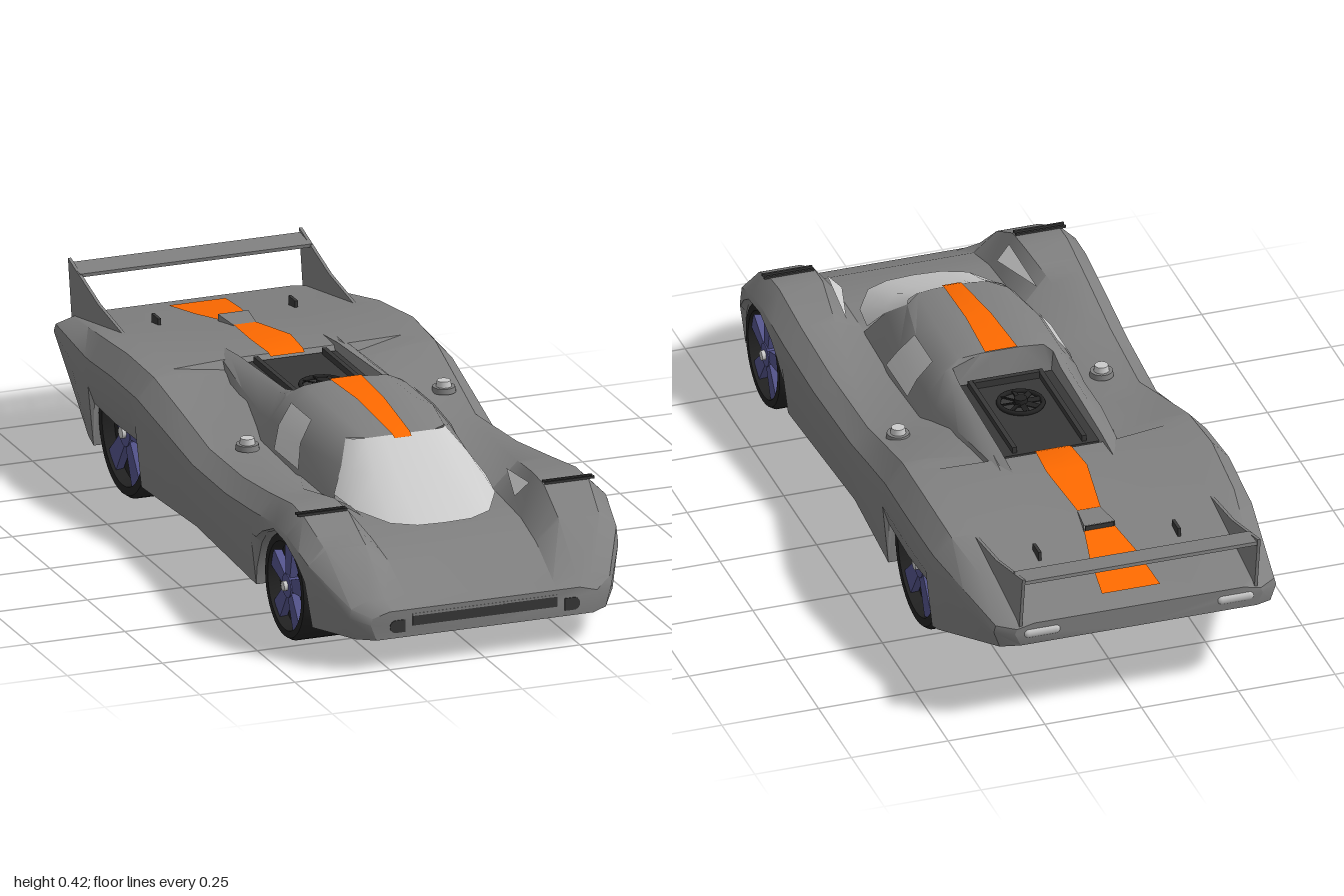
import * as THREE from 'three';
import { toCreasedNormals } from 'three/addons/utils/BufferGeometryUtils.js';

const mat = (color) => new THREE.MeshStandardMaterial({ color, side: THREE.DoubleSide });
const paint = mat(0x808080), glass = mat(0xcccccc), dark = mat(0x383838), rubber = mat(0x222222);
const orange = mat(0xff6a00), rimBlue = mat(0x54548c);

function skin(positions, index, crease = 0.6) {
  const g = new THREE.BufferGeometry();
  g.setAttribute('position', new THREE.Float32BufferAttribute(positions, 3));
  g.setIndex(index);
  return toCreasedNormals(g, crease);
}

// Skin over rows of half profiles; each runs from the +x side to the centre line and is mirrored.
function loft(rows, capped = false, crease = 0.6) {
  const rings = rows.map((r) => [...r, ...r.slice(0, -1).reverse().map(([x, y, z]) => [-x, y, z])]);
  const n = rings[0].length, index = [];
  for (let i = 0; i < rings.length - 1; i++) {
    for (let j = 0; j < n - 1; j++) {
      const a = i * n + j, d = a + n;
      index.push(a, d, a + 1, a + 1, d, d + 1);
    }
  }
  if (capped) {
    const e = (rings.length - 1) * n;
    for (let j = 1; j < n - 2; j++) index.push(0, j, j + 1, e, e + j + 1, e + j);
  }
  return skin(rings.flat(2), index, crease);
}

// A value that varies along the car, linear between [z, value] keys from nose to tail.
const track = (...keys) => (z) => {
  const i = Math.max(1, keys.findIndex((k) => k[0] <= z));
  const [z0, a] = keys[i - 1], [z1, b] = keys[i];
  return THREE.MathUtils.lerp(a, b, (z0 - z) / (z0 - z1));
};
const halfWidth = track([1, 0.3], [0.97, 0.345], [0.85, 0.41], [0.74, 0.425], [0.5, 0.419], [0.05, 0.4],
  [-0.27, 0.42], [-0.43, 0.425], [-0.63, 0.415], [-0.95, 0.365], [-0.98, 0.32]);
const floorY = track([1, 0.08], [0.5, 0.078], [-0.6, 0.08], [-0.98, 0.223]);
const fenderY = track([1, 0.15], [0.85, 0.275], [0.74, 0.33], [0.66, 0.335], [0.5, 0.311], [0.3, 0.285],
  [0.05, 0.275], [-0.1, 0.315], [-0.27, 0.358], [-0.43, 0.366], [-0.63, 0.345], [-0.98, 0.28]);
const deckY = track([1, 0.15], [0.85, 0.225], [0.74, 0.252], [0.5, 0.264], [0.05, 0.28], [-0.1, 0.33],
  [-0.305, 0.337], [-0.33, 0.358], [-0.43, 0.36], [-0.63, 0.335], [-0.98, 0.28]);
const fenderX = track([1, 0.25], [0.66, 0.26], [0.3, 0.31], [-0.98, 0.3]);
const valleyX = track([1, 0.19], [0.05, 0.215], [-0.27, 0.15], [-0.98, 0.15]);

// One body section: floor, wheel well, lip, flank, shoulder, fender top, valley, centre deck.
function section(z) {
  const w = halfWidth(z), base = floorY(z), top = fenderY(z), deck = deckY(z);
  const wi = z > 0.2 ? 0.24 : 0.2;
  let lip = base, well = base;
  if (z > 0.5 && z < 0.85) {
    lip = 0.08 + 0.195 * Math.sqrt(1 - ((z - 0.69) / (z > 0.69 ? 0.17 : 0.19)) ** 2);
    well = lip + 0.005;
  } else if (z > -0.59 && z < -0.265) {
    lip = 0.192;
    well = top - 0.03;
  }
  const rise = (f) => base + (top - base) * f;
  return [[0, base], [wi, base], [wi, well], [w - 0.04, well], [w - 0.015, lip], [w, Math.max(rise(0.58), lip + 0.005)],
    [w - 0.005, rise(0.82)], [w - 0.05, top], [Math.min(fenderX(z), w - 0.06), top], [valleyX(z), deck], [0, deck]]
    .map(([x, y]) => [x, y, z]);
}

// Points of one cross-section at z, optionally leaning back with height.
const at = (z, pts, rake = 0) => pts.map(([x, y]) => [x, y, z - rake * (y - 0.27)]);

// Buttress section beside the sunken engine bay.
const buttress = (z, bx, by, ty) => at(z, [[bx, by], [(bx + 0.15) / 2 + 0.008, (by + ty) / 2 + 0.006],
  [0.15, ty - 0.006], [0.13, ty], [0.125, 0.345], [0, 0.345]]);

// Flat strip along the centre line from [z, half width, y] stations.
const ribbon = (...stations) => loft(stations.map(([z, w, y]) => [[w, y, z], [0, y, z]]));

const outline = (pts) => new THREE.Shape(pts.map((p) => new THREE.Vector2(...p)));

function makeWheel(r, width) {
  const g = new THREE.Group(), h = width / 2;
  const part = (name, geo, m, z = 0) => {
    const mesh = new THREE.Mesh(geo, m);
    mesh.name = name;
    mesh.position.z = z;
    g.add(mesh);
    return mesh;
  };
  const profile = [[0, -h], [r * 0.9, -h], [r, -h + 0.012], [r, h - 0.012], [r * 0.95, h], [r * 0.82, h],
    [r * 0.79, h - 0.03], [0, h - 0.03]].map((p) => new THREE.Vector2(...p));
  part('tyre', toCreasedNormals(new THREE.LatheGeometry(profile, 36).rotateX(Math.PI / 2), 0.6), rubber);
  const blade = outline([[-0.1 * r, 0.1 * r], [0.1 * r, 0.1 * r], [0.25 * r, 0.8 * r], [-0.12 * r, 0.8 * r]]);
  const bladeGeo = new THREE.ExtrudeGeometry(blade, { depth: 0.02, bevelEnabled: false });
  for (let i = 0; i < 5; i++) part('spoke', bladeGeo, rimBlue, h - 0.028).rotation.z = (i * Math.PI * 2) / 5;
  const disc = (rad, depth) => new THREE.CylinderGeometry(rad, rad, depth, 20).rotateX(Math.PI / 2);
  part('hub', disc(r * 0.22, 0.03), rimBlue, h - 0.02);
  part('wheelNut', disc(r * 0.09, 0.05), glass, h - 0.02);
  return g;
}

export function createModel() {
  const car = new THREE.Group();
  car.name = 'raceCar';
  const add = (name, geo, m, x = 0, y = 0, z = 0) => {
    const mesh = new THREE.Mesh(geo, m);
    mesh.name = name;
    mesh.position.set(x, y, z);
    car.add(mesh);
    return mesh;
  };
  const box = (name, w, h, d, m, x, y, z) => add(name, new THREE.BoxGeometry(w, h, d), m, x, y, z);

  // Body shell, nose to tail; paired stations make the upright ends of the wheel wells
  const stations = [1, 0.97, 0.85, 0.84, 0.8, 0.74, 0.66, 0.58, 0.54, 0.505, 0.5, 0.3, 0.05, -0.1,
    -0.265, -0.27, -0.305, -0.33, -0.43, -0.585, -0.59, -0.63, -0.78, -0.95, -0.98];
  add('body', loft(stations.map(section), true), paint);

  // Wraparound windscreen
  const screen = [
    [[0.2, 0.285, 0.5], [0.185, 0.275, 0.6], [0.13, 0.266, 0.7], [0.07, 0.263, 0.73], [0, 0.263, 0.735]],
    [[0.165, 0.34, 0.46], [0.15, 0.338, 0.5], [0.11, 0.337, 0.545], [0.06, 0.336, 0.56], [0, 0.336, 0.565]],
    [[0.13, 0.39, 0.4], [0.12, 0.392, 0.42], [0.09, 0.395, 0.435], [0.045, 0.397, 0.44], [0, 0.397, 0.44]],
  ];
  add('windscreen', loft(screen, false, 1), glass);

  // Cabin: starts on the screen edge, ends in two buttresses around the engine bay
  const roof = [[0.225, 0.255], [0.195, 0.34], [0.158, 0.39], [0.11, 0.415], [0.05, 0.42], [0, 0.42]];
  const cabin = [
    [[0.205, 0.265, 0.51], screen[1][0], screen[2][0], ...screen[2].slice(2)],
    at(0.3, roof, 0.4), at(0.14, roof, 0.2), at(0.07, roof),
    buttress(0.055, 0.225, 0.255, 0.4), buttress(0, 0.22, 0.26, 0.385), buttress(-0.15, 0.205, 0.3, 0.378),
    buttress(-0.31, 0.17, 0.33, 0.37), buttress(-0.41, 0.15, 0.345, 0.359),
  ];
  add('cabin', loft(cabin, false, 0.7), paint);

  // Parts mirrored on both sides
  for (const s of [1, -1]) {
    const pane = [cabin[1], cabin[2]].flatMap((row) => [[0.214, 0.285, row[0][2]], row[1], row[2]])
      .flatMap(([x, y, z]) => [s * (x + 0.003), y + 0.002, z]);
    add('sideWindow', skin(pane, [0, 3, 1, 1, 3, 4, 1, 4, 2, 2, 4, 5]), glass);
    add('headlight', skin([s * 0.2, 0.29, 0.69, s * 0.235, 0.325, 0.7, s * 0.246, 0.302, 0.52], [0, 1, 2]), glass);
    for (const z of [0.725, 0.74]) box('fenderLouvre', 0.13, 0.006, 0.006, dark, s * 0.325, 0.333, z);
    box('underTray', 0.06, 0.025, 0.1, paint, s * 0.215, 0.065, 0.56);
    box('deckPin', 0.008, 0.03, 0.045, dark, s * 0.18, 0.325, -0.735);

    // Nose and tail lamps
    const lamp = outline([[-0.004, -0.016], [0.02, -0.016], [0.02, 0.016]]);
    lamp.lineTo(-0.004, 0.016).absarc(-0.004, 0, 0.016, Math.PI / 2, Math.PI * 1.5);
    const lampGeo = new THREE.ExtrudeGeometry(lamp, { depth: 0.012, bevelEnabled: false });
    add('noseLamp', lampGeo, dark, s * 0.23, 0.11, 0.99).scale.x = -s;
    const tailGeo = new THREE.CapsuleGeometry(0.012, 0.07, 4, 10).rotateZ(Math.PI / 2);
    add('tailLamp', tailGeo, glass, s * 0.25, 0.253, -0.978).scale.z = 0.6;

    // Tail fin
    const fin = outline([[0.62, 0.34], [0.8, 0.365], [1, 0.42], [0.975, 0.27], [0.8, 0.3]]);
    const finGeo = new THREE.ExtrudeGeometry(fin, { depth: 0.008, bevelEnabled: false }).rotateY(Math.PI / 2);
    add('tailFin', finGeo, paint, s * 0.304 - 0.004);

    // Wheels
    for (const [name, r, w, x, z] of [['frontWheel', 0.136, 0.15, 0.33, 0.69], ['rearWheel', 0.165, 0.18, 0.3, -0.43]]) {
      const wheel = makeWheel(r, w);
      wheel.name = name;
      wheel.position.set(s * x, r, z);
      wheel.rotation.y = (s * Math.PI) / 2;
      car.add(wheel);
    }
  }

  // Rear wing between the fins
  box('rearWing', 0.61, 0.009, 0.07, paint, 0, 0.402, -0.96).rotation.x = 0.12;

  // Nose intake
  box('noseIntake', 0.38, 0.026, 0.01, dark, 0, 0.12, 0.996);
  box('intakeLip', 0.38, 0.006, 0.014, paint, 0, 0.135, 0.994);

  // Engine bay: floor, rails and cooling fan
  box('bayFloor', 0.25, 0.006, 0.36, dark, 0, 0.347, -0.13);
  for (const s of [1, -1]) box('bayRail', 0.012, 0.02, 0.34, dark, s * 0.09, 0.356, -0.13);
  box('bayFrontRail', 0.17, 0.02, 0.014, dark, 0, 0.358, 0.03);
  add('fanRing', new THREE.TorusGeometry(0.055, 0.006, 8, 28).rotateX(Math.PI / 2), rubber, 0, 0.355, -0.08);
  add('fanHub', new THREE.CylinderGeometry(0.016, 0.018, 0.02, 16), rubber, 0, 0.358, -0.08);
  for (let i = 0; i < 8; i++) {
    const bladeGeo = new THREE.BoxGeometry(0.04, 0.003, 0.014).rotateX(0.4).translate(0.033, 0, 0).rotateY((i * Math.PI) / 4);
    add('fanBlade', bladeGeo, rubber, 0, 0.356, -0.08);
  }

  // Fuel fillers, one per flank
  for (const [x, y, z] of [[-0.27, 0.288, 0.1], [0.31, 0.31, -0.06]]) {
    add('fillerBase', new THREE.CylinderGeometry(0.028, 0.03, 0.014, 20), paint, x, y, z);
    add('fillerCap', new THREE.CylinderGeometry(0.017, 0.02, 0.02, 16), glass, x, y + 0.012, z);
  }

  // Centre stripes and deck scoop
  add('roofStripe', ribbon([0.455, 0.022, 0.393], [0.44, 0.024, 0.4], [0.24, 0.033, 0.423], [0.068, 0.042, 0.423]), orange);
  add('deckStripe', ribbon([-0.315, 0.045, 0.355], [-0.33, 0.046, 0.361], [-0.43, 0.053, 0.363], [-0.6, 0.03, 0.342]), orange);
  add('tailStripe', ribbon([-0.68, 0.04, 0.331], [-0.78, 0.06, 0.315], [-0.92, 0.075, 0.293]), orange);
  const scoopRows = [at(-0.6, [[0.03, 0.335], [0.03, 0.341], [0, 0.341]]), at(-0.68, [[0.04, 0.32], [0.04, 0.345], [0, 0.345]])];
  add('deckScoop', loft(scoopRows), paint);
  box('scoopMouth', 0.074, 0.018, 0.003, dark, 0, 0.334, -0.679);
  return car;
}
